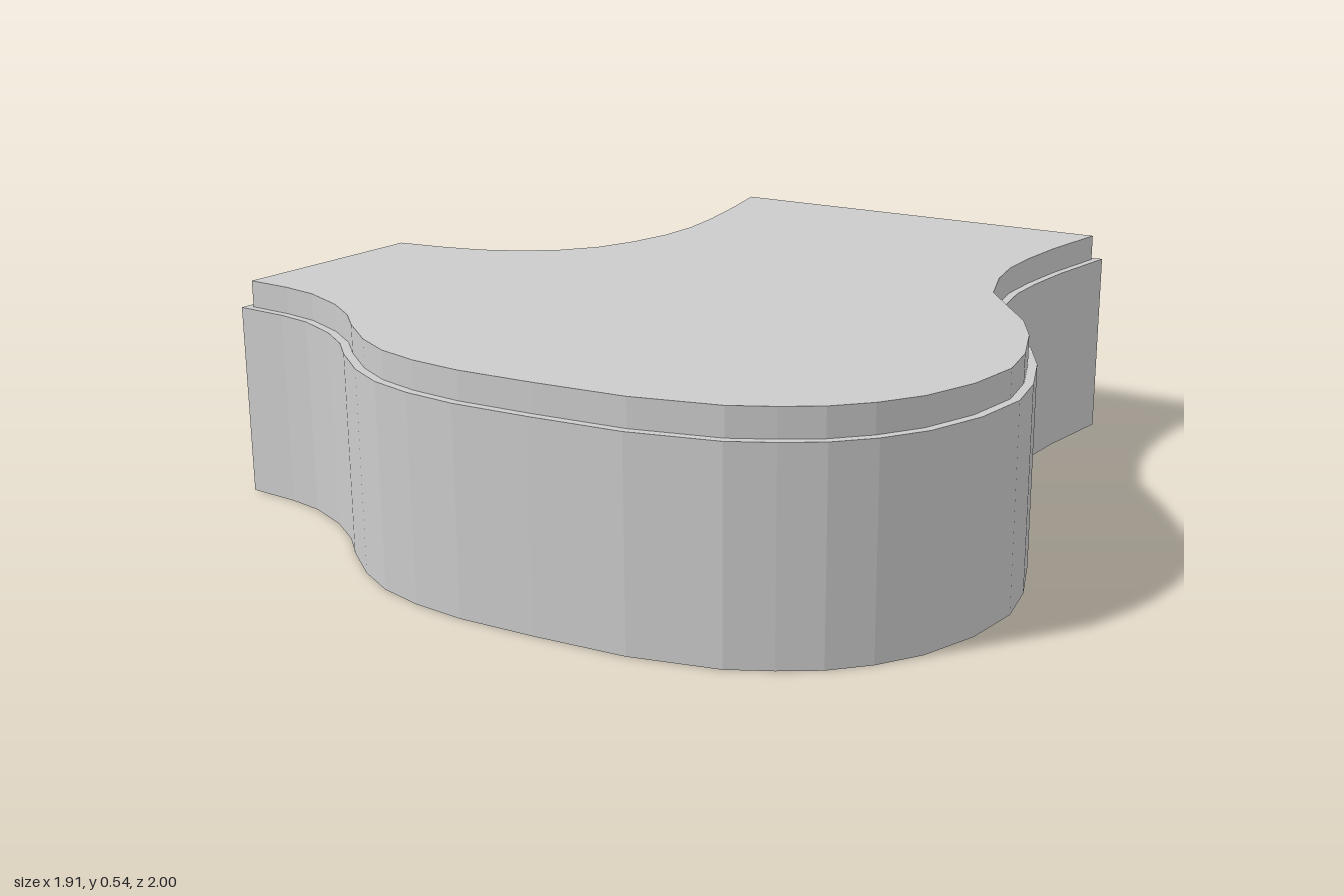
import * as THREE from 'three';

const WALL_HEIGHT = 0.47, TOP = 0.535, THICKNESS = 0.02;
const DOOR = { z0: 0.23, z1: 0.48, height: 0.36 };

// Plan outline as [x, z], from the back corner round the front to the doorway end and back
const rightSide = [
  [0.59, -1], [0.565, -0.77], [0.56, -0.62], [0.565, -0.5], [0.59, -0.38], [0.64, -0.24],
  [0.72, -0.14], [0.81, -0.03], [0.875, 0.085], [0.93, 0.23], [0.955, 0.355], [0.94, 0.5],
  [0.895, 0.635], [0.835, 0.73], [0.765, 0.805], [0.685, 0.86], [0.595, 0.91], [0.4, 0.963],
];
const frontSide = [
  [0.185, 0.985], [0, 0.997], [-0.13, 0.988], [-0.24, 0.963], [-0.34, 0.915], [-0.45, 0.836],
  [-0.52, 0.775], [-0.61, 0.72], [-0.725, 0.675], [-0.82, 0.66], [-0.96, 0.655],
];
const leftSide = [
  [-0.96, 0.085], [-0.82, 0.063], [-0.714, 0.037], [-0.62, -0.01], [-0.545, -0.07],
  [-0.487, -0.148], [-0.45, -0.254], [-0.43, -0.37], [-0.43, -0.487], [-0.45, -0.62],
  [-0.49, -0.8], [-0.54, -0.99],
];
const outline = [...rightSide, ...frontSide, ...leftSide].map(([x, z]) => new THREE.Vector2(x, z));

// Mitred inward offset of a closed outline
function inset(points, distance) {
  const normal = (a, b) => {
    const d = b.clone().sub(a).normalize();
    return new THREE.Vector2(-d.y, d.x);
  };
  return points.map((p, i) => {
    const n1 = normal(points.at(i - 1), p);
    const n2 = normal(p, points[(i + 1) % points.length]);
    const scale = distance / (1 + n1.dot(n2));
    return p.clone().addScaledVector(n1.add(n2), scale);
  });
}

// Upright prism over a plan polygon
function prism(points, bottom, top) {
  const shape = new THREE.Shape(points.map((p) => new THREE.Vector2(p.x, -p.y)));
  const geometry = new THREE.ExtrudeGeometry(shape, { depth: top - bottom, bevelEnabled: false });
  return geometry.rotateX(-Math.PI / 2).translate(0, bottom, 0);
}

export function createModel() {
  const group = new THREE.Group();
  const material = new THREE.MeshStandardMaterial({ color: 0xcccccc, flatShading: true });
  const add = (name, geometry) => {
    const mesh = new THREE.Mesh(geometry, material);
    mesh.name = name;
    group.add(mesh);
  };
  const inner = inset(outline, THICKNESS);

  // Thin wall running from one door jamb all the way round to the other
  const split = rightSide.length + frontSide.length;
  const openLoop = (points) => {
    const x = points[split].x;
    return [
      new THREE.Vector2(x, DOOR.z0), ...points.slice(split),
      ...points.slice(0, split), new THREE.Vector2(x, DOOR.z1),
    ];
  };
  add('curvedWall', prism([...openLoop(outline), ...openLoop(inner).reverse()], 0, WALL_HEIGHT));

  // Wall piece above the doorway
  const lintel = new THREE.BoxGeometry(THICKNESS, WALL_HEIGHT - DOOR.height, DOOR.z1 - DOOR.z0);
  lintel.translate(-0.96 + THICKNESS / 2, (WALL_HEIGHT + DOOR.height) / 2, (DOOR.z0 + DOOR.z1) / 2);
  add('doorLintel', lintel);

  // Floor and raised roof slab, both set inside the wall
  add('floor', prism(inner, 0, 0.01));
  add('roof', prism(inner, WALL_HEIGHT, TOP));

  return group;
}
